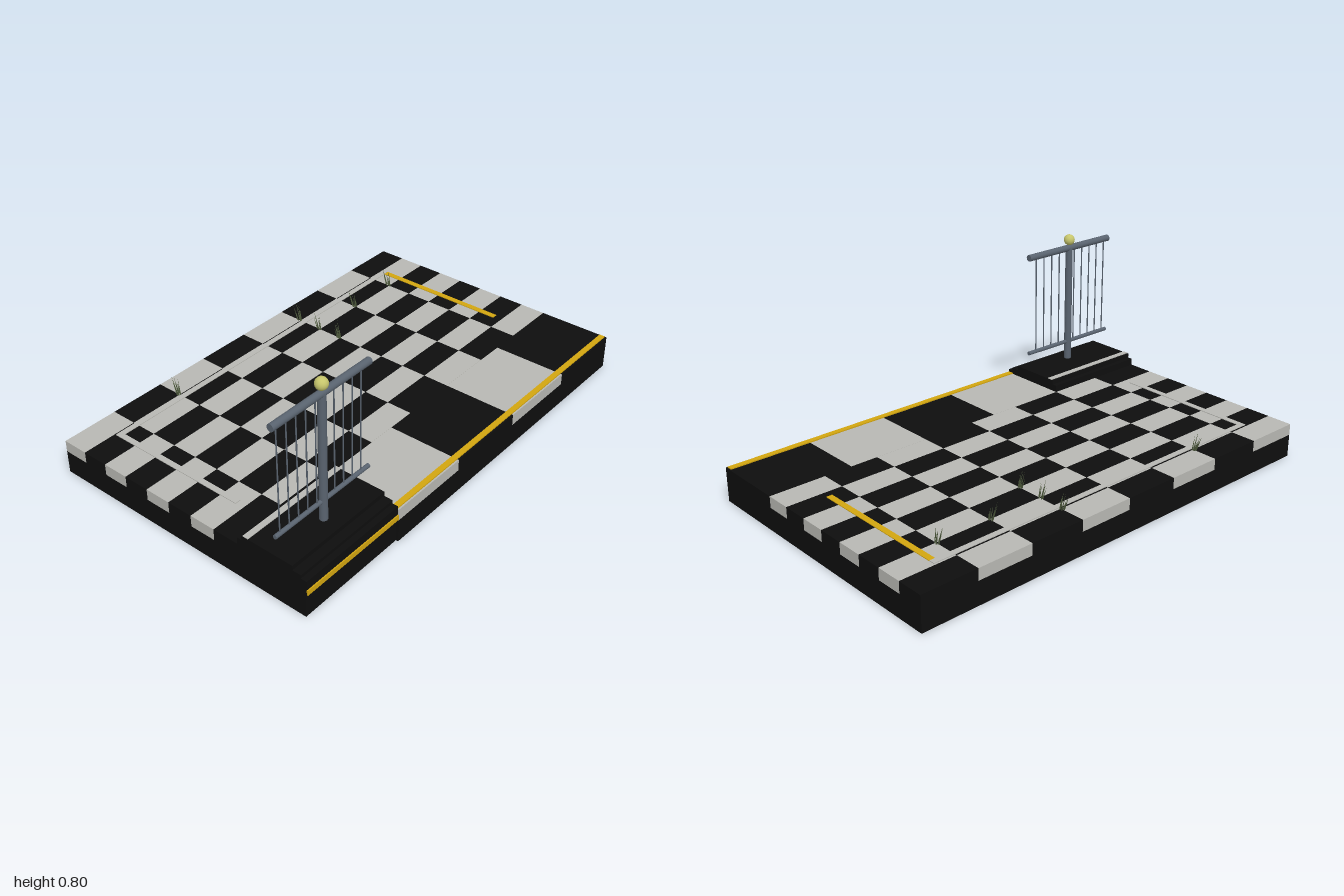
import * as THREE from 'three';

const mat = (name, color, side = THREE.FrontSide) => {
  const m = new THREE.MeshStandardMaterial({ color, side });
  m.name = name;
  return m;
};

export function createModel() {
  const model = new THREE.Group();
  model.name = 'tiledPlatform';
  const black = mat('black', 0x0e0e0e);
  const pale = mat('paleStone', 0xb8b8b3);
  const yellow = mat('yellowPaint', 0xd2a510);
  const steel = mat('blueGreySteel', 0x59636f);
  const brass = mat('paleBrass', 0xc6c56c);
  const green = mat('grassGreen', 0x4d5a3c);

  const add = (parent, name, geo, material) => {
    const mesh = new THREE.Mesh(geo, material);
    mesh.name = name;
    parent.add(mesh);
    return mesh;
  };
  // Box given by its minimum and maximum on each axis
  const box = (parent, name, material, x0, x1, y0, y1, z0, z1) => {
    const mesh = add(parent, name, new THREE.BoxGeometry(x1 - x0, y1 - y0, z1 - z0), material);
    mesh.position.set((x0 + x1) / 2, (y0 + y1) / 2, (z0 + z1) / 2);
    return mesh;
  };
  const group = (name) => {
    const g = new THREE.Group();
    g.name = name;
    model.add(g);
    return g;
  };

  // Foundation, with the corner under the plinth set back slightly
  box(model, 'foundation', black, -1, 1, 0, 0.1, -0.628, 0.298);
  box(model, 'frontFoundation', black, -0.5, 1, 0, 0.1, 0.298, 0.624);
  box(model, 'cornerFoundation', black, -1, -0.5, 0, 0.1, 0.298, 0.614);

  // Chequered floor, 8 by 8
  const floor = group('chequeredFloor');
  const back = -0.628, pitch = (0.297 - back) / 8;
  for (let r = 0; r < 8; r++) {
    for (let c = 0; c < 8; c++) {
      const x = -1 + c * 0.25, z = back + r * pitch;
      box(floor, 'floorTile', (r + c) % 2 ? black : pale, x, x + 0.25, 0.1, 0.15, z, z + pitch);
    }
  }
  // Row of large tiles along the front
  for (let c = 0; c < 4; c++) {
    const x = -0.5 + c * 0.375;
    box(floor, 'largeTile', c % 2 ? black : pale, x, x + 0.375, 0.1, 0.15, 0.298, 0.624);
  }

  // Painted lines
  const lines = group('paintedLines');
  box(lines, 'backLine', pale, -0.85, 0.845, 0.15, 0.153, -0.505, -0.48);
  box(lines, 'sideLine', pale, -0.85, -0.825, 0.15, 0.153, -0.48, 0.145);
  box(lines, 'yellowSideLine', yellow, 0.82, 0.846, 0.15, 0.153, -0.48, 0.145);
  box(lines, 'yellowFrontEdge', yellow, -0.5, 0.995, 0.15, 0.155, 0.592, 0.617);

  // Stepped corner plinth
  const plinth = group('plinth');
  box(plinth, 'plinthLower', black, -1, -0.5, 0.1, 0.165, 0.298, 0.62);
  box(plinth, 'plinthMiddle', black, -1, -0.5, 0.165, 0.18, 0.298, 0.595);
  box(plinth, 'plinthTop', black, -1, -0.5, 0.18, 0.2, 0.32, 0.557);
  box(plinth, 'plinthLine', pale, -1, -0.5, 0.2, 0.203, 0.327, 0.352);
  box(plinth, 'plinthStripe', yellow, -1, -0.5, 0.104, 0.126, 0.618, 0.625);

  // Railing with a central post
  const railing = group('railing');
  railing.position.set(-0.75, 0, 0.482);
  const rod = (name, r, y0, y1, x = 0, sides = 16) => {
    const m = add(railing, name, new THREE.CylinderGeometry(r, r, y1 - y0, sides), steel);
    m.position.set(x, (y0 + y1) / 2, 0);
  };
  rod('post', 0.0165, 0.2, 0.74);
  for (const [name, r, y] of [['topRail', 0.015, 0.739], ['bottomRail', 0.009, 0.284]]) {
    const rail = add(railing, name, new THREE.CylinderGeometry(r, r, 0.5, 16), steel);
    rail.rotation.z = Math.PI / 2;
    rail.position.y = y;
  }
  for (let i = 0; i < 10; i++) rod('baluster', 0.0028, 0.284, 0.739, -0.225 + i * 0.0478, 8);
  add(railing, 'ballFinial', new THREE.SphereGeometry(0.025, 24, 16), brass).position.y = 0.777;

  // Grass tufts growing from the tile joints, leaning backwards
  const grass = group('grass');
  const spots = [[-0.5, -0.513], [0.25, -0.513], [0.25, -0.397], [0.25, -0.281], [0.5, -0.397], [0.75, -0.397]];
  spots.forEach(([x, z], s) => {
    const tuft = new THREE.Group();
    tuft.name = 'grassTuft';
    tuft.position.set(x, 0.148, z);
    for (let i = 0; i < 6; i++) {
      const a = i * 2.4 + s, h = 0.05 + 0.0075 * ((i * 5 + s) % 6);
      const geo = new THREE.ConeGeometry(0.0035, h, 4).translate(0, h / 2, 0);
      const blade = add(tuft, 'grassBlade', geo, green);
      blade.position.set(Math.cos(a) * 0.006, 0, Math.sin(a) * 0.009 - 0.005);
      blade.rotation.set(-0.25 + Math.sin(a) * 0.1, 0, -Math.cos(a) * 0.06);
    }
    grass.add(tuft);
  });

  return model;
}
